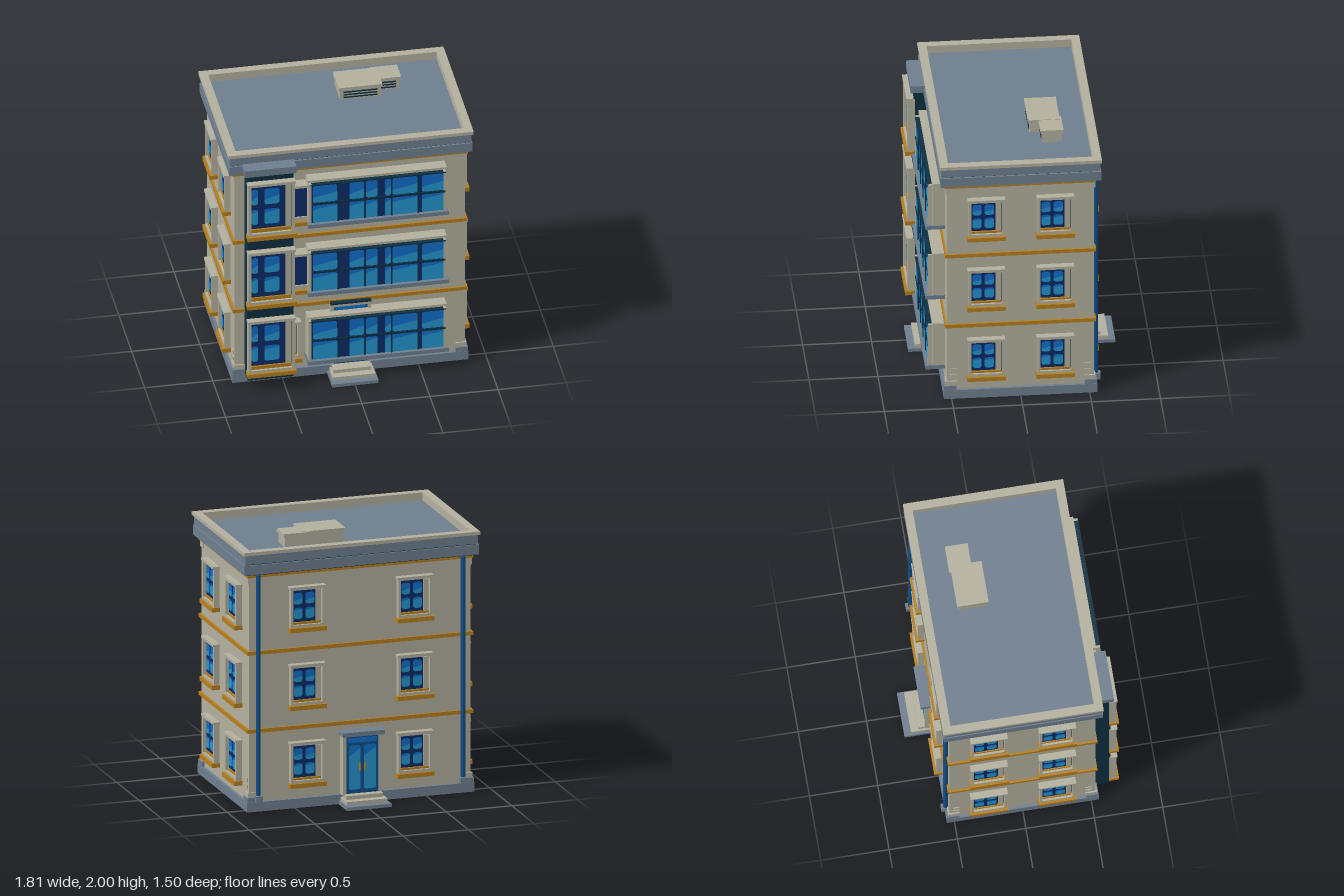
import * as THREE from 'three';

const make = (name, color) => Object.assign(new THREE.MeshStandardMaterial({ color }), { name });
const M = {
  wall: make('stone beige', 0xb4b09f),
  grey: make('slate grey', 0x6f7f8f),
  gold: make('ochre trim', 0xb67f1e),
  teal: make('dark teal', 0x0e2f40),
  navy: make('window navy', 0x0c2a66),
  blue: make('glass blue', 0x1070cc),
  light: make('glass light', 0x2496d0),
  pipe: make('pipe blue', 0x0f4f8a),
};

// Box given by its limits on each axis
function box(parent, name, mat, x0, x1, y0, y1, z0, z1) {
  const m = new THREE.Mesh(new THREE.BoxGeometry(x1 - x0, y1 - y0, z1 - z0), mat);
  m.position.set((x0 + x1) / 2, (y0 + y1) / 2, (z0 + z1) / 2);
  m.name = name;
  parent.add(m);
  return m;
}

// Flat polygon facing +z
function plate(parent, name, mat, points, z) {
  const shape = new THREE.Shape(points.map(([x, y]) => new THREE.Vector2(x, y)));
  const m = new THREE.Mesh(new THREE.ShapeGeometry(shape), mat);
  m.position.z = z;
  m.name = name;
  parent.add(m);
}

// Glass pane with clipped corners and a lighter reflection
function pane(parent, x0, x1, y0, y1, z, clip, lower) {
  const c = Math.min(clip, (x1 - x0) / 3);
  plate(parent, 'glassPane', M.blue, [[x0 + c, y0], [x1 - c, y0], [x1, y0 + c], [x1, y1 - c],
    [x1 - c, y1], [x0 + c, y1], [x0, y1 - c], [x0, y0 + c]], z);
  const h = y1 - y0, a = lower ? 0.75 : 0.3, b = lower ? 0.95 : 0.6;
  plate(parent, 'glassReflection', M.light, [[x0 + c, y0], [x1 - c, y0], [x1, y0 + c],
    [x1, y0 + h * b - c * 0.5], [x0, y0 + h * a], [x0, y0 + c]], z + 0.002);
}

// Upright rectangular ring facing +z
function frame(parent, name, mat, w, h, b, z0, z1) {
  const r = w / 2;
  box(parent, name, mat, -r, -r + b, 0, h, z0, z1);
  box(parent, name, mat, r - b, r, 0, h, z0, z1);
  box(parent, name, mat, -r + b, r - b, 0, b, z0, z1);
  box(parent, name, mat, -r + b, r - b, h - b, h, z0, z1);
}

// Framed window with sill; origin at the bottom centre of the frame on the wall
function windowUnit(w, h, cols, strip) {
  const g = new THREE.Group();
  g.name = 'window';
  const r = w / 2, b = 0.02;
  frame(g, 'windowFrame', M.wall, w, h, b, -0.01, 0.045);
  box(g, 'windowLip', M.wall, -r - 0.006, r + 0.006, h - 0.012, h + 0.006, 0, 0.052);
  box(g, 'windowBacking', M.teal, -r + b, r - b, b, h - b, -0.01, 0.012);
  box(g, 'windowSill', M.gold, -r - 0.01, r + 0.01, -0.032, 0, -0.01, 0.062);
  const gx0 = -r + b + 0.004, gx1 = r - b - 0.045, gy0 = b + strip, gy1 = h - b - 0.01;
  box(g, 'windowGlassFrame', M.navy, gx0, gx1, gy0, gy1, 0, 0.02);
  box(g, 'windowReveal', M.wall, gx1 + 0.003, r - b - 0.004, gy0, gy1, 0, 0.022);
  box(g, 'innerSill', M.gold, gx0, r - b - 0.004, b, gy0 - 0.003, 0, 0.028);
  const gw = gx1 - gx0, gh = gy1 - gy0;
  for (const [a, c] of cols)
    for (const [d, e] of [[0.1, 0.46], [0.57, 0.94]])
      pane(g, gx0 + gw * a, gx0 + gw * c, gy0 + gh * d, gy0 + gh * e, 0.022, 0.012, d < 0.5);
  return g;
}

function place(parent, obj, x, y, z, turn = 0) {
  obj.position.set(x, y, z);
  obj.rotation.y = turn;
  parent.add(obj);
}

// Wide front window band with five bays
function ribbonWindow(y) {
  const g = new THREE.Group();
  g.name = 'ribbonWindow';
  box(g, 'ribbonFrame', M.wall, -0.325, 0.695, 0.01, 0.355, 0.52, 0.625);
  box(g, 'ribbonGlassFrame', M.navy, -0.305, 0.678, 0.01, 0.33, 0.6, 0.648);
  box(g, 'ribbonTop', M.teal, -0.31, 0.682, 0.328, 0.336, 0.6, 0.658);
  box(g, 'ribbonSill', M.grey, -0.332, 0.702, -0.02, 0.01, 0.52, 0.675);
  const fills = [[[0.06, 0.97]], [[0.43, 0.97]], [[0.05, 0.48], [0.76, 0.97]], [[0.04, 0.97]], [[0.14, 0.98]]];
  const step = 0.983 / 5;
  fills.forEach((spans, i) => {
    const x = -0.305 + i * step;
    for (const [a, b] of spans) {
      pane(g, x + a * step, x + b * step, 0.012, 0.158, 0.65, 0.004, true);
      pane(g, x + a * step, x + b * step, 0.182, 0.322, 0.65, 0.01, false);
    }
    if (i) box(g, 'ribbonMullion', M.teal, x - 0.005, x + 0.005, 0.01, 0.33, 0.64, 0.657);
  });
  box(g, 'ribbonTransom', M.teal, -0.305, 0.678, 0.163, 0.177, 0.64, 0.657);
  for (const x of [-0.31, 0.678]) box(g, 'ribbonEnd', M.wall, x - 0.012, x + 0.006, 0.01, 0.34, 0.6, 0.655);
  g.position.y = y;
  return g;
}

// Door with steps, facing +z from the wall plane
function entrance(top, depth) {
  const g = new THREE.Group();
  g.name = 'entrance';
  for (const s of [-1, 1]) box(g, 'doorJamb', M.wall, s * 0.136 - 0.013, s * 0.136 + 0.013, 0.07, top, 0.52, depth);
  box(g, 'doorLeaf', M.pipe, -0.123, 0.123, 0.07, top, 0.52, depth - 0.008);
  const z = depth - 0.006;
  box(g, 'doorTransom', M.blue, -0.11, 0.11, top - 0.055, top - 0.02, 0.53, z);
  for (const s of [-1, 1]) {
    const x = s * 0.058;
    pane(g, x - 0.045, x + 0.045, 0.11, top - 0.075, z, 0.01, true);
    box(g, 'doorHandle', M.gold, s * 0.02 - 0.006, s * 0.02 + 0.006, 0.25, 0.31, 0.53, depth + 0.008);
  }
  box(g, 'bottomStep', M.grey, -0.17, 0.17, 0, 0.025, 0.5, 0.75);
  box(g, 'middleStep', M.wall, -0.155, 0.155, 0.025, 0.052, 0.5, 0.7);
  box(g, 'topStep', M.wall, -0.14, 0.14, 0.052, 0.08, 0.5, 0.645);
  return g;
}

export function createModel() {
  const model = new THREE.Group();
  model.name = 'officeBuilding';

  // Walls, plinth and string courses
  box(model, 'walls', M.wall, -0.845, 0.845, 0.05, 1.8, -0.533, 0.533);
  box(model, 'plinth', M.grey, -0.866, 0.866, 0, 0.07, -0.556, 0.556);
  for (const y of [0.587, 1.172, 1.752])
    box(model, 'stringCourse', M.gold, -0.86, 0.86, y, y + 0.028, -0.547, 0.547);

  // Corner footings, capitals and small wall vents
  for (const sx of [-1, 1]) for (const sz of [-1, 1]) {
    const corner = (name, mat, outX, outZ, w, y0, y1) => {
      const x = sx * (outX - w / 2), z = sz * (outZ - w / 2);
      box(model, name, mat, x - w / 2, x + w / 2, y0, y1, z - w / 2, z + w / 2);
    };
    corner('cornerFooting', M.grey, 0.864, 0.554, 0.09, 0.07, 0.106);
    corner('cornerBase', M.wall, 0.856, 0.544, 0.085, 0.106, 0.14);
    corner('cornerCapital', M.wall, 0.853, 0.541, 0.07, 1.705, 1.752);
    for (const y of [0.165, 0.217])
      box(model, 'wallVent', M.wall, sx * 0.847 - 0.005, sx * 0.847 + 0.005, y, y + 0.027, sz * 0.485 - 0.024, sz * 0.485 + 0.024);
  }

  // Roof cornice, parapet and recessed deck
  box(model, 'soffit', M.teal, -0.875, 0.875, 1.776, 1.784, -0.565, 0.565);
  box(model, 'lowerCornice', M.grey, -0.893, 0.893, 1.784, 1.857, -0.582, 0.582);
  box(model, 'roofDeck', M.grey, -0.85, 0.85, 1.85, 1.895, -0.535, 0.535);
  const rim = (name, mat, X, Z, x, z, y0, y1) => {
    for (const s of [-1, 1]) {
      box(model, name, mat, s * (X + x) / 2 - (X - x) / 2, s * (X + x) / 2 + (X - x) / 2, y0, y1, -Z, Z);
      box(model, name, mat, -x, x, y0, y1, s * (Z + z) / 2 - (Z - z) / 2, s * (Z + z) / 2 + (Z - z) / 2);
    }
  };
  rim('upperCornice', M.grey, 0.887, 0.576, 0.845, 0.53, 1.862, 1.93);
  rim('corniceGroove', M.teal, 0.88, 0.57, 0.85, 0.535, 1.857, 1.862);
  rim('parapetLining', M.wall, 0.85, 0.535, 0.838, 0.524, 1.89, 1.935);
  rim('parapetCap', M.wall, 0.9, 0.586, 0.838, 0.524, 1.93, 1.955);

  // Rooftop ventilation units with louvres on the front
  for (const [x0, x1, z0, z1, top] of [[0.04, 0.36, -0.33, -0.1, 2], [0.31, 0.512, -0.343, -0.177, 1.997]]) {
    box(model, 'ventUnit', M.wall, x0 + 0.01, x1 - 0.01, 1.89, top - 0.025, z0 + 0.01, z1 - 0.01);
    box(model, 'ventLid', M.wall, x0, x1, top - 0.025, top, z0, z1);
    for (let i = 0; i < 3; i++)
      box(model, 'ventLouvre', M.teal, Math.max(x0, 0.04) + 0.035, x1 - 0.035, 1.908 + i * 0.022, 1.918 + i * 0.022, z1 - 0.014, z1 - 0.006);
  }

  // Projecting front tower with cap
  box(model, 'tower', M.teal, -0.772, -0.436, 0.07, 1.82, 0.52, 0.655);
  box(model, 'towerCap', M.grey, -0.795, -0.418, 1.815, 1.87, 0.52, 0.678);

  // Windows, floor by floor
  const plain = [[0.04, 0.42], [0.55, 0.95]], wide = [[0.01, 0.2], [0.38, 0.82]];
  for (let i = 0; i < 3; i++) {
    const y = 0.19 + i * 0.583;
    for (const z of [-0.25, 0.25]) {
      place(model, windowUnit(0.26, 0.3, plain, 0.018), 0.845, y, z, Math.PI / 2);
      place(model, windowUnit(0.26, 0.3, plain, 0.018), -0.845, y, z, -Math.PI / 2);
    }
    for (const x of [-0.41, 0.41]) place(model, windowUnit(0.26, 0.3, plain, 0.018), x, y, -0.533, Math.PI);
    place(model, windowUnit(0.34, 0.435, wide, 0.03), -0.604, y - 0.034, 0.655);
    model.add(ribbonWindow(y - 0.01));
    if (i === 0) {
      place(model, windowUnit(0.26, 0.3, plain, 0.018), -0.505, y, 0.56);
      box(model, 'windowReturn', M.wall, -0.45, -0.376, y, y + 0.3, 0.52, 0.555);
    } else {
      box(model, 'linkPanel', M.navy, -0.436, -0.305, y + 0.035, y + 0.285, 0.52, 0.6);
      box(model, 'linkBase', M.wall, -0.436, -0.32, y, y + 0.035, 0.52, 0.61);
      box(model, 'linkLip', M.wall, -0.436, -0.32, y + 0.285, y + 0.305, 0.52, 0.62);
      box(model, 'linkSill', M.gold, -0.436, -0.31, y - 0.03, y, 0.52, 0.63);
    }
  }

  // Front and back entrances
  place(model, entrance(0.59, 0.57), 0, 0, 0);
  box(model, 'frontDoorHead', M.wall, -0.149, 0.149, 0.57, 0.592, 0.52, 0.575);
  box(model, 'frontDoorCap', M.teal, -0.149, 0.149, 0.592, 0.607, 0.52, 0.58);
  place(model, entrance(0.515, 0.597), 0, 0, 0, Math.PI);
  box(model, 'backCanopy', M.grey, -0.16, 0.16, 0.515, 0.547, -0.63, -0.52);

  // Drainpipes at the back corners
  for (const x of [-0.78, 0.78]) {
    const pipe = new THREE.Mesh(new THREE.CylinderGeometry(0.018, 0.018, 1.68, 8), M.pipe);
    pipe.position.set(x, 0.93, -0.55);
    pipe.name = 'drainpipe';
    model.add(pipe);
    box(model, 'drainpipeFoot', M.grey, x - 0.025, x + 0.025, 0.07, 0.12, -0.585, -0.52);
  }
  return model;
}
